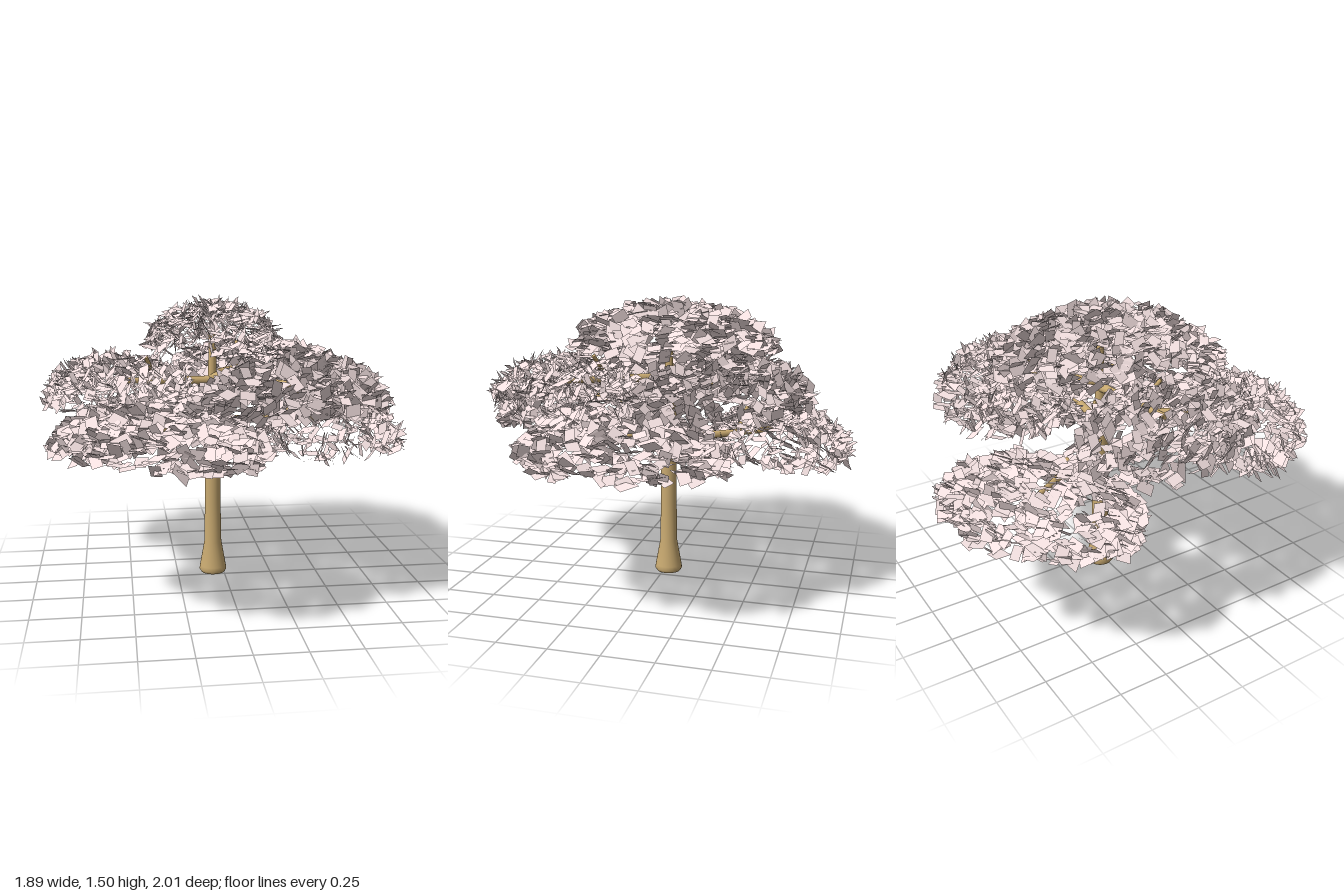
import * as THREE from 'three';

const bark = new THREE.MeshStandardMaterial({ color: 0xc8a970 });
const foliage = new THREE.MeshStandardMaterial({ color: 0xf4e1e1, side: THREE.DoubleSide });
const X = -0.06, Z = -0.03; // trunk axis

function seeded(seed) {
  let s = seed;
  return () => (s = (s * 16807) % 2147483647) / 2147483647;
}

// Tapered round limb between two points
function limb(name, from, to, r0, r1) {
  const dir = to.clone().sub(from);
  const mesh = new THREE.Mesh(new THREE.CylinderGeometry(r1, r0, dir.length(), 12), bark);
  mesh.position.copy(from).add(to).multiplyScalar(0.5);
  mesh.quaternion.setFromUnitVectors(new THREE.Vector3(0, 1, 0), dir.normalize());
  mesh.name = name;
  return mesh;
}

// Domed shell of flat leaves, wide across the branch; leaves tilt about the cross axis
function leafDome({ x, y, z, angle, across = 0.53, out = 0.37, height = 0.23, count = 700 }, seed) {
  const rnd = seeded(seed), spread = (a) => (rnd() * 2 - 1) * a;
  const radial = new THREE.Vector3(Math.cos(angle), 0, Math.sin(angle));
  const cross = new THREE.Vector3(-Math.sin(angle), 0, Math.cos(angle));
  const up = new THREE.Vector3(0, 1, 0), centre = new THREE.Vector3(x, y, z);
  const positions = [], index = [];
  for (let i = 0; i < count; i++) {
    const h = rnd() * 1.05 - 0.05, turn = rnd() * Math.PI * 2, ring = Math.sqrt(1 - h * h);
    const depth = 0.72 + 0.28 * Math.sqrt(rnd());
    const p = centre.clone()
      .addScaledVector(radial, Math.cos(turn) * ring * depth * out)
      .addScaledVector(cross, Math.sin(turn) * ring * depth * across)
      .addScaledVector(up, h * depth * height);
    const tilt = spread(1.4);
    const normal = up.clone().multiplyScalar(Math.cos(tilt))
      .addScaledVector(radial, Math.sin(tilt)).addScaledVector(cross, spread(0.3)).normalize();
    const u = cross.clone().addScaledVector(normal, -cross.dot(normal)).normalize()
      .applyAxisAngle(normal, rnd() * Math.PI * 2);
    const v = normal.clone().cross(u);
    const size = 0.85 + 0.3 * rnd(), a = 0.038 * size, b = 0.025 * size, skew = spread(0.012);
    for (const [su, sv] of [[-1, -1], [1, -1], [1, 1], [-1, 1]]) {
      const c = p.clone().addScaledVector(u, su * a + sv * skew).addScaledVector(v, sv * b);
      positions.push(c.x, c.y, c.z);
    }
    const k = i * 4;
    index.push(k, k + 1, k + 2, k, k + 2, k + 3);
  }
  const geo = new THREE.BufferGeometry();
  geo.setAttribute('position', new THREE.Float32BufferAttribute(positions, 3));
  geo.setIndex(index);
  geo.computeVertexNormals();
  return new THREE.Mesh(geo, foliage);
}

export function createModel() {
  const tree = new THREE.Group();
  tree.name = 'tree';

  // Trunk with flared, rounded foot
  const profile = [[0, 0], [0.04, 0.002], [0.064, 0.01], [0.073, 0.025], [0.07, 0.045], [0.046, 0.18],
    [0.042, 0.4], [0.04, 0.95], [0.036, 0.97], [0, 0.97]];
  const trunk = new THREE.Mesh(
    new THREE.LatheGeometry(profile.map(([r, y]) => new THREE.Vector2(r, y)), 24), bark);
  trunk.position.set(X, 0, Z);
  trunk.name = 'trunk';
  tree.add(trunk);
  tree.add(limb('leader', new THREE.Vector3(X, 0.95, Z), new THREE.Vector3(X, 1.3, Z), 0.026, 0.018));

  // Two tiers of boughs, angles measured from +x toward +z
  const boughs = [
    { name: 'lowerLeft', angle: 7, x: 0.54, y: 0.76, z: 0.05 },
    { name: 'lowerFront', angle: 118, x: -0.37, y: 0.81, z: 0.56 },
    { name: 'lowerBack', angle: 240, x: -0.39, y: 0.66, z: -0.565 },
    { name: 'upperFront', angle: 60, x: 0.28, y: 0.99, z: 0.41 },
    { name: 'upperRight', angle: 160, x: -0.54, y: 0.97, z: 0.03 },
    { name: 'upperBack', angle: 300, x: 0.24, y: 1.0, z: -0.38 },
  ];
  boughs.forEach((b, i) => {
    const group = new THREE.Group();
    group.name = b.name + 'Bough';
    const angle = b.angle * Math.PI / 180;
    const start = new THREE.Vector3(X, b.y + 0.085, Z);
    const end = new THREE.Vector3(b.x, b.y + 0.1, b.z);
    const fork = start.clone().lerp(end, 0.62);
    const tip = fork.clone().add(
      new THREE.Vector3(Math.cos(angle - 0.7) * 0.1, 0.13, Math.sin(angle - 0.7) * 0.1));
    group.add(limb('branch', start, end, 0.024, 0.015), limb('twig', fork, tip, 0.015, 0.01));
    const leaves = leafDome({ ...b, angle }, 101 + i * 977);
    leaves.name = 'leaves';
    group.add(leaves);
    tree.add(group);
  });

  // Crown
  const crown = leafDome({ x: -0.05, y: 1.23, z: -0.05, angle: 0, out: 0.36 }, 7919);
  crown.name = 'crownLeaves';
  tree.add(crown);
  return tree;
}
